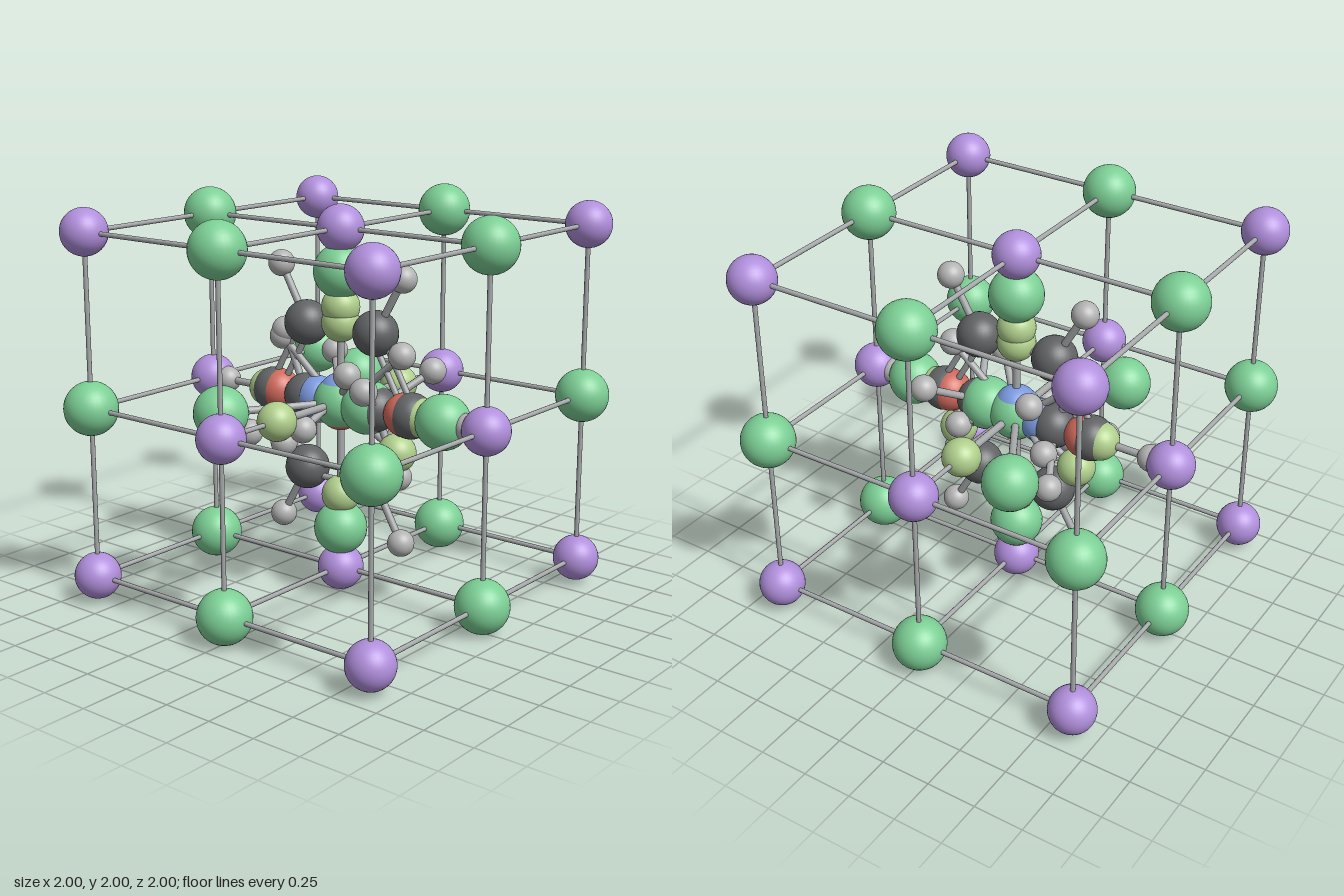
import * as THREE from 'three';

// atom kinds: radius and colour
const KINDS = {
  Na: [0.117, 0xb18fdc], Cl: [0.135, 0x7ccf95], F: [0.096, 0xb0cf8c],
  C: [0.113, 0x606264], H: [0.067, 0xb4b4b4], O: [0.108, 0xd0695c],
  N: [0.11, 0x7c9ae0], S: [0.12, 0xd8c860], P: [0.12, 0xd89850], B: [0.1, 0xe0a8a0],
};
const NAMES = {
  Na: 'sodiumAtom', Cl: 'chlorineAtom', F: 'fluorineAtom', C: 'carbonAtom', H: 'hydrogenAtom',
  O: 'oxygenAtom', N: 'nitrogenAtom', S: 'sulfurAtom', P: 'phosphorusAtom', B: 'boronAtom',
};
const balls = {};
for (const [kind, [radius, color]] of Object.entries(KINDS)) {
  balls[kind] = {
    geometry: new THREE.SphereGeometry(radius, 32, 20),
    material: new THREE.MeshStandardMaterial({ color }),
  };
}
const stickMaterial = new THREE.MeshStandardMaterial({ color: 0xa6a8aa });
const UP = new THREE.Vector3(0, 1, 0);

function addAtom(group, kind, p) {
  const mesh = new THREE.Mesh(balls[kind].geometry, balls[kind].material);
  mesh.name = NAMES[kind];
  mesh.position.set(...p);
  group.add(mesh);
}

function addStick(group, a, b, radius = 0.019, offset = null) {
  const from = new THREE.Vector3(...a), to = new THREE.Vector3(...b);
  const dir = to.clone().sub(from);
  const mesh = new THREE.Mesh(
    new THREE.CylinderGeometry(radius, radius, dir.length(), 12, 1, true), stickMaterial);
  mesh.name = 'bond';
  mesh.position.copy(from).add(to).multiplyScalar(0.5);
  if (offset) mesh.position.add(offset);
  mesh.quaternion.setFromUnitVectors(UP, dir.normalize());
  group.add(mesh);
}

// two parallel sticks, side by side in the xy plane
function addDoubleBond(group, a, b) {
  const side = new THREE.Vector3(a[1] - b[1], b[0] - a[0], 0).setLength(0.032);
  addStick(group, a, b, 0.016, side);
  addStick(group, a, b, 0.016, side.clone().negate());
}

// one central atom with equal neighbours
function star(name, centreKind, centre, kind, points) {
  const group = new THREE.Group();
  group.name = name;
  addAtom(group, centreKind, centre);
  for (const p of points) {
    addAtom(group, kind, p);
    addStick(group, centre, p);
  }
  return group;
}

// 3 x 3 x 3 lattice of alternating atoms with sticks between neighbours
function crystalCell() {
  const group = new THREE.Group();
  group.name = 'crystalCell';
  const h = 0.865;
  for (let x = -1; x <= 1; x++)
    for (let y = -1; y <= 1; y++)
      for (let z = -1; z <= 1; z++) {
        const odd = (x + y + z) & 1;
        const p = [x * h, y * h, z * h];
        addAtom(group, odd ? 'Na' : 'Cl', p);
        for (let axis = 0; axis < 3; axis++) {
          if ([x, y, z][axis] === 1) continue;
          const q = [...p];
          q[axis] += h;
          addStick(group, p, q, 0.012);
        }
      }
  return group;
}

// flat six-sided carbon ring with alternating double bonds
function carbonRing() {
  const group = new THREE.Group();
  group.name = 'carbonRing';
  const at = (r, i) => [r * Math.cos(i * Math.PI / 3), r * Math.sin(i * Math.PI / 3), 0];
  for (let i = 0; i < 6; i++) {
    const c = at(0.433, i), next = at(0.433, i + 1), h = at(0.758, i);
    addAtom(group, 'C', c);
    addAtom(group, 'H', h);
    addStick(group, c, h);
    if (i % 2 === 0) addDoubleBond(group, c, next);
    else addStick(group, c, next);
  }
  return group;
}

// two carbons on the x axis, three staggered hydrogens on each
function staggeredPair() {
  const group = new THREE.Group();
  group.name = 'staggeredPair';
  addStick(group, [-0.22, 0, 0], [0.22, 0, 0]);
  for (const s of [-1, 1]) {
    const c = [s * 0.22, 0, 0];
    addAtom(group, 'C', c);
    for (let i = 0; i < 3; i++) {
      const a = i * Math.PI * 2 / 3;
      const h = [s * 0.36, -s * 0.32 * Math.cos(a), 0.32 * Math.sin(a)];
      addAtom(group, 'H', h);
      addStick(group, c, h);
    }
  }
  return group;
}

// two-atom molecule along x
function pair(name, kindA, xa, kindB, xb) {
  const group = new THREE.Group();
  group.name = name;
  addAtom(group, kindA, [xa, 0, 0]);
  addAtom(group, kindB, [xb, 0, 0]);
  addStick(group, [xa, 0, 0], [xb, 0, 0]);
  return group;
}

export function createModel() {
  const model = new THREE.Group();
  model.name = 'moleculeCell';
  const o = [0, 0, 0], t = 0.2, f = 0.48;
  model.add(
    crystalCell(),
    carbonRing(),
    staggeredPair(),
    star('bipyramid', 'P', o, 'Cl',
      [[0, 0.655, 0], [0, -0.655, 0], [0.62, 0, 0], [-0.31, 0, 0.535], [-0.31, 0, -0.535]]),
    star('octahedron', 'S', o, 'F',
      [[f, 0, 0], [-f, 0, 0], [0, f, 0], [0, -f, 0], [0, 0, f], [0, 0, -f]]),
    star('flatTriangle', 'B', o, 'F', [[0, 0.4, 0], [0.35, -0.2, 0], [-0.35, -0.2, 0]]),
    star('tetrahedron', 'C', o, 'H', [[t, t, t], [-t, -t, t], [-t, t, -t], [t, -t, -t]]),
    star('pyramid', 'N', [0, 0.038, 0], 'H',
      [[0, -0.08, 0.29], [0.25, -0.08, -0.145], [-0.25, -0.08, -0.145]]),
    star('bentMolecule', 'O', [0, -0.035, 0], 'H', [[0.375, 0.285, 0], [-0.375, 0.285, 0]]),
    star('linearMolecule', 'C', o, 'O', [[0.4, 0, 0], [-0.4, 0, 0]]),
    pair('nitrogenPair', 'N', -0.15, 'N', 0.15),
    pair('chloridePair', 'Cl', 0.17, 'H', -0.17),
  );
  model.position.y = 1;
  const root = new THREE.Group();
  root.name = 'model';
  root.add(model);
  return root;
}
